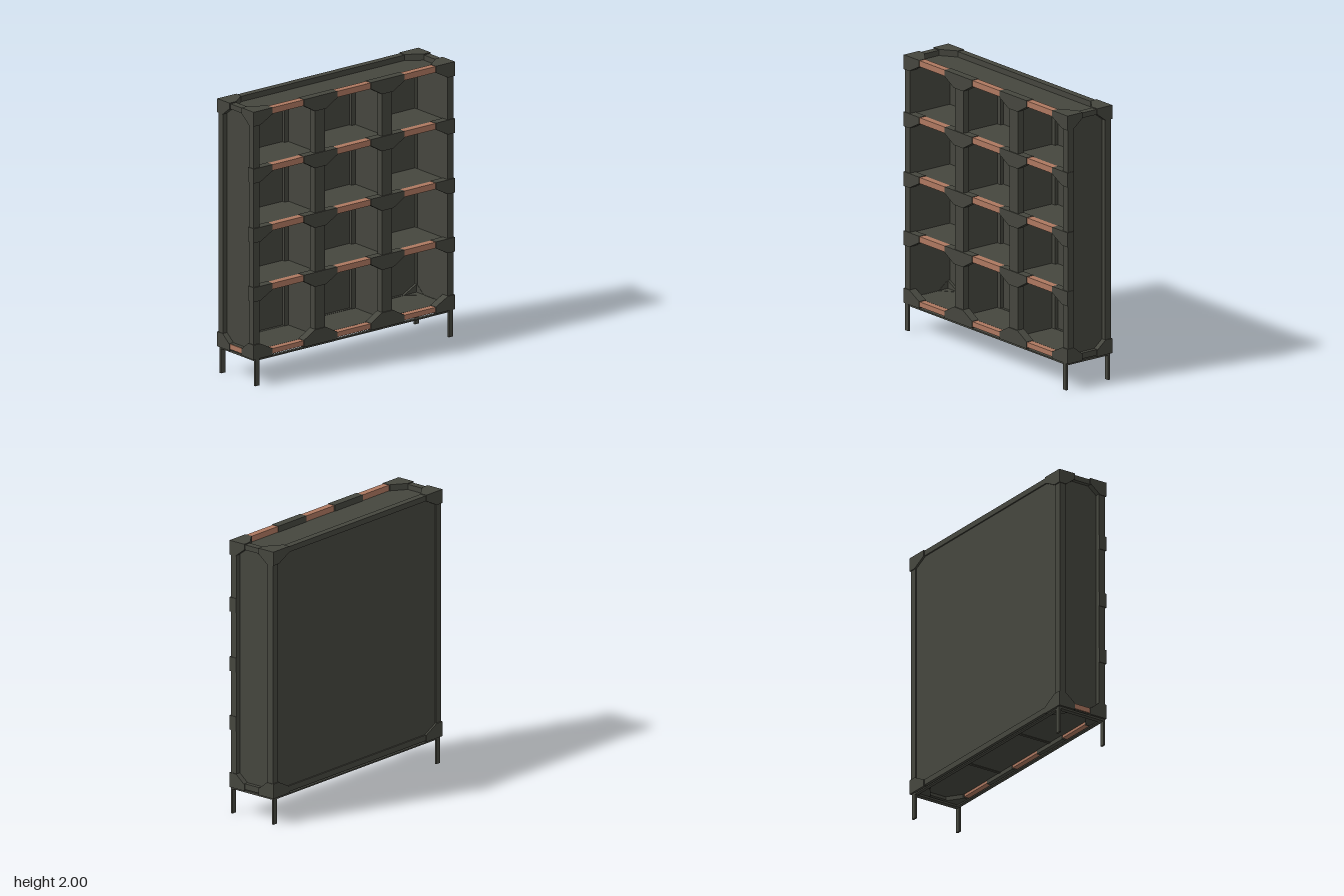
import * as THREE from 'three';

export function createModel() {
  const model = new THREE.Group();
  model.name = 'shelvingUnit';
  const dark = new THREE.MeshStandardMaterial({ color: 0x45463e });
  dark.name = 'dark olive grey';
  const copper = new THREE.MeshStandardMaterial({ color: 0xae7860 });
  copper.name = 'copper';

  const add = (name, geo, mat = dark) => {
    const m = new THREE.Mesh(geo, mat);
    m.name = name;
    model.add(m);
  };
  // box given by its limits on each axis
  const box = (name, x0, x1, y0, y1, z0, z1, mat) => {
    const g = new THREE.BoxGeometry(Math.abs(x1 - x0), Math.abs(y1 - y0), Math.abs(z1 - z0));
    add(name, g.translate((x0 + x1) / 2, (y0 + y1) / 2, (z0 + z1) / 2), mat);
  };
  // flat outline thickened between lo and hi along an axis: z uses (x,y), x uses (z,y), y uses (x,z)
  const plate = (name, pts, axis, lo, hi) => {
    const shape = new THREE.Shape(pts.map(p => new THREE.Vector2(p[0], p[1])));
    const g = new THREE.ExtrudeGeometry(shape, { depth: hi - lo, bevelEnabled: false });
    if (axis === 'z') g.translate(0, 0, lo);
    if (axis === 'x') g.rotateY(-Math.PI / 2).translate(hi, 0, 0);
    if (axis === 'y') g.rotateX(Math.PI / 2).translate(0, hi, 0);
    add(name, g);
  };

  const B = 0.195, T = 2, tops = [2, 1.585, 1.15, 0.72, 0.245];

  // corner posts and the frame rails between them
  for (const s of [-1, 1]) {
    for (const f of [-1, 1]) box('cornerPost', s * 0.84, s * 0.895, 0.21, 1.99, f * 0.14, f * 0.192);
    box('topSideRail', s * 0.84, s * 0.89, 1.955, 1.993, -0.15, 0.15);
    box('bottomSideRail', s * 0.84, s * 0.89, 0.203, 0.245, -0.15, 0.15);
    box('sidePanel', s * 0.842, s * 0.86, 0.22, 1.98, -0.17, 0.17);
  }
  box('bottomSideTrim', -0.895, -0.89, 0.205, 0.243, -0.07, 0.07, copper);
  box('topBackRail', -0.85, 0.85, 1.955, 1.995, -0.195, -0.145);
  box('bottomBackRail', -0.85, 0.85, 0.203, 0.245, -0.195, -0.145);

  // panels, partitions and shelves
  box('backPanel', -0.845, 0.845, 0.22, 1.98, -0.185, -0.165);
  box('topPanel', -0.845, 0.845, 1.935, 1.955, -0.17, 0.15);
  box('bottomPanel', -0.845, 0.845, 0.225, 0.243, -0.17, 0.15);
  for (const y of tops.slice(1, 4)) box('shelf', -0.845, 0.845, y - 0.04, y - 0.005, -0.17, 0.15);
  for (const x of [-0.3, 0.3]) {
    box('dividerFrontPost', x - 0.045, x + 0.045, 0.21, 1.99, 0.14, 0.192);
    box('dividerBackPost', x - 0.045, x + 0.045, 0.22, 1.95, -0.17, -0.14);
    box('partition', x - 0.01, x + 0.01, 0.22, 1.95, -0.15, 0.15);
  }

  // front rails: copper lengths between brackets
  tops.forEach((y, i) => {
    const low = i === 4;
    const y0 = low ? 0.205 : y - 0.047, y1 = y - 0.003;
    for (const x of [-0.59, 0, 0.59]) {
      const w = x === 0 ? 0.15 : 0.14;
      box('copperRail', x - w, x + w, y0, y1, 0.145, 0.195, copper);
    }
    // gusset brackets at the dividers and sides
    const edge = low ? B : y, inner = low ? 0.245 : y - 0.047, tip = low ? 0.302 : y - 0.105;
    for (const x of [-0.3, 0.3]) {
      plate('dividerBracket', [[x - 0.15, edge], [x - 0.15, inner], [x - 0.05, tip],
        [x + 0.05, tip], [x + 0.15, inner], [x + 0.15, edge]], 'z', 0.14, 0.2);
    }
    for (const s of [-1, 1]) {
      plate('sideBracket', [[s * 0.9, edge], [s * 0.73, edge], [s * 0.73, inner],
        [s * 0.84, tip], [s * 0.9, tip]], 'z', 0.14, 0.2);
    }
  });

  // three-way corner brackets
  for (const s of [-1, 1]) for (const f of [-1, 1]) for (const top of [true, false]) {
    const edge = top ? T : B, inner = top ? 1.955 : 0.245, tip = top ? 1.9 : 0.302;
    if (f < 0) {
      plate('cornerBracketBack', [[s * 0.9, edge], [s * 0.73, edge], [s * 0.73, inner],
        [s * 0.84, tip], [s * 0.9, tip]], 'z', -0.2, -0.145);
    }
    plate('cornerBracketSide', [[f * 0.2, edge], [f * 0.07, edge], [f * 0.07, inner],
      [f * 0.14, tip], [f * 0.2, tip]], 'x', s > 0 ? 0.84 : -0.9, s > 0 ? 0.9 : -0.84);
    plate('cornerBracketFlat', [[s * 0.9, f * 0.2], [s * 0.73, f * 0.2], [s * 0.73, f * 0.145],
      [s * 0.84, f * 0.065], [s * 0.9, f * 0.065]], 'y', top ? 1.955 : B, top ? T : 0.245);
  }

  // stand: thin frame on four flat legs
  for (const s of [-1, 1]) {
    box('standSideBar', s * 0.85, s * 0.885, 0.18, 0.195, -0.19, 0.2);
    box('standLongBar', -0.885, 0.885, 0.18, 0.19, s * 0.165, s * 0.19);
    box('frontLeg', s * 0.848, s * 0.885, 0, 0.19, 0.185, 0.2);
    box('backLeg', s * 0.848, s * 0.885, 0, 0.19, -0.19, -0.175);
  }
  return model;
}
